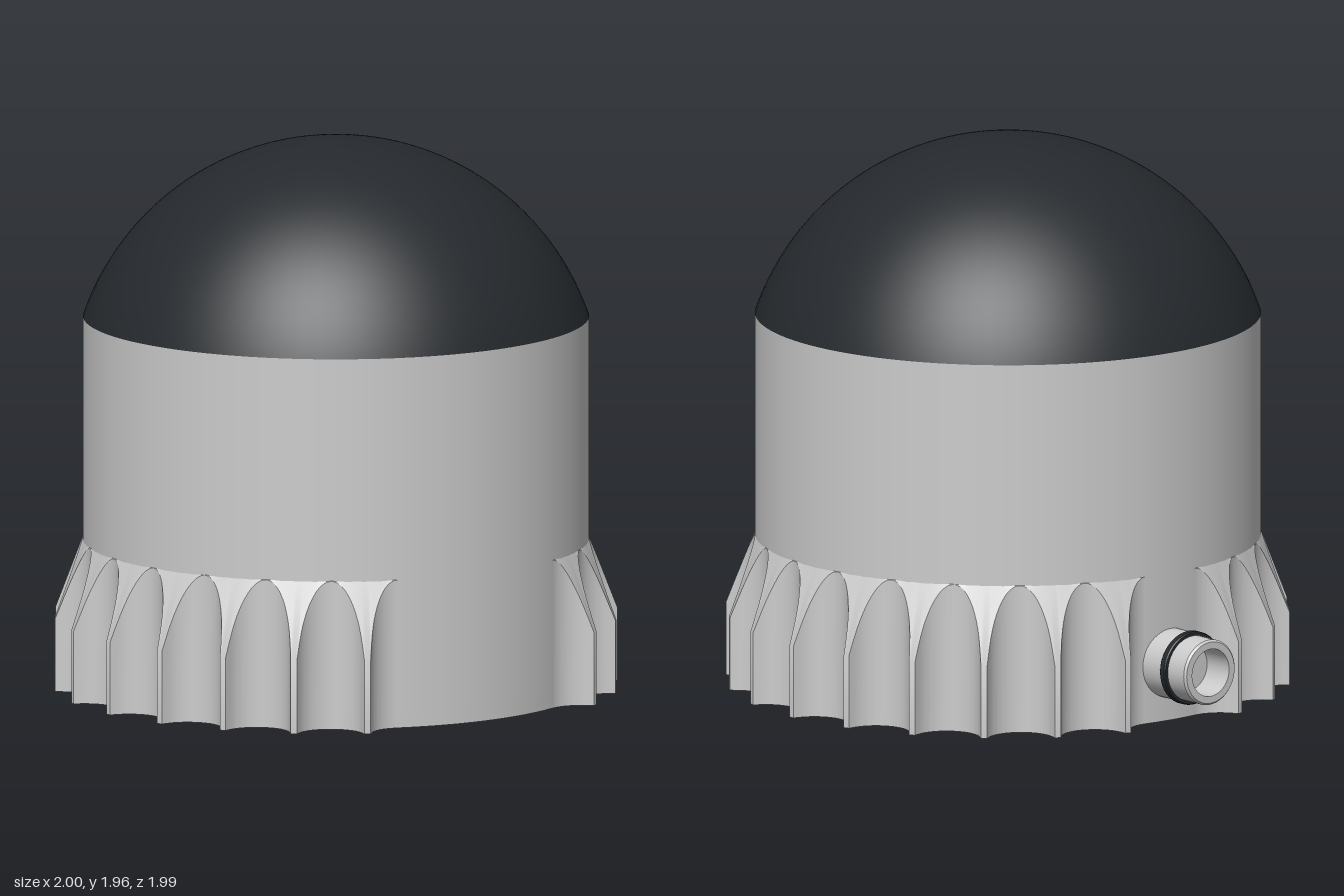
import * as THREE from 'three';
import { toCreasedNormals } from 'three/addons/utils/BufferGeometryUtils.js';

const R = 0.89;          // body radius
const TIP = 0.995;       // fin tip radius
const WALL_TOP = 1.32;
const FIN_SHOULDER = 0.26, FIN_TOP = 0.53;
const PLATE = 0.05;
const STEP = Math.PI / 12;

const grey = new THREE.MeshStandardMaterial({ color: 0xcccccc });
const dark = new THREE.MeshStandardMaterial({ color: 0x25292d });

function add(parent, name, geometry, material = grey) {
  const mesh = new THREE.Mesh(geometry, material);
  mesh.name = name;
  parent.add(mesh);
  return mesh;
}

// Fin radius at an angle from the tip: round scallops are cut on both sides
function finRadius(angle) {
  const a = STEP / 2 - Math.abs(angle);
  const centre = 1.01, cut = 0.119;
  const under = cut * cut - (centre * Math.sin(a)) ** 2;
  if (under <= 0) return TIP;
  return Math.min(TIP, centre * Math.cos(a) - Math.sqrt(under));
}

// One fin: upright scalloped wall, sloping shoulder and underside, column by column
function finGeometry() {
  const positions = [];
  const n = 48;
  const column = (i) => {
    const a = (i / n - 0.5) * STEP;
    const r = finRadius(a);
    const y = FIN_TOP - (r - R) / (TIP - R) * (FIN_TOP - FIN_SHOULDER);
    const at = (rad, h) => [rad * Math.cos(a), h, -rad * Math.sin(a)];
    return [at(R - 0.002, 0), at(r, 0), at(r, y), at(R - 0.002, FIN_TOP)];
  };
  for (let i = 0; i < n; i++) {
    const p = column(i), q = column(i + 1);
    for (let k = 0; k < 3; k++) {
      positions.push(...p[k], ...q[k], ...q[k + 1], ...p[k], ...q[k + 1], ...p[k + 1]);
    }
  }
  const g = new THREE.BufferGeometry();
  g.setAttribute('position', new THREE.Float32BufferAttribute(positions, 3));
  return toCreasedNormals(g, 0.45);
}

export function createModel() {
  const model = new THREE.Group();
  model.name = 'domedHousing';

  const housing = new THREE.Group();
  housing.name = 'housing';
  housing.position.x = 0.105;
  model.add(housing);

  // Cylindrical wall
  const wall = new THREE.CylinderGeometry(R, R, WALL_TOP - PLATE, 96);
  add(housing, 'bodyWall', wall).position.y = (WALL_TOP + PLATE) / 2;

  // Base plate with screw holes
  const disc = new THREE.Shape().absarc(0, 0, R, 0, Math.PI * 2, false);
  for (const deg of [0, 60, 120, 180, 210, 330]) {
    const a = THREE.MathUtils.degToRad(deg);
    disc.holes.push(new THREE.Path().absarc(0.845 * Math.cos(a), -0.845 * Math.sin(a), 0.028, 0, Math.PI * 2, true));
  }
  const plate = new THREE.ExtrudeGeometry(disc, { depth: PLATE, bevelEnabled: false, curveSegments: 48 });
  plate.rotateX(-Math.PI / 2);
  add(housing, 'basePlate', toCreasedNormals(plate, 0.6));

  // Dome: a cap of a larger sphere
  const rise = 0.635;
  const domeR = (R * R + rise * rise) / (2 * rise);
  const dome = new THREE.SphereGeometry(domeR, 96, 40, 0, Math.PI * 2, 0, Math.asin(R / domeR));
  add(housing, 'dome', dome, dark).position.y = WALL_TOP + rise - domeR;

  // Fins all round, leaving out the smooth left side and the connector
  const fin = finGeometry();
  for (let i = 0; i < 24; i++) {
    if ([23, 0, 1, 12].includes(i)) continue;
    add(housing, 'fin', fin).rotation.y = i * STEP;
  }

  // Hollow connector on the right side, pointing to -x
  const connector = new THREE.Group();
  connector.name = 'connector';
  connector.position.set(0, 0.205, 0);
  connector.rotation.z = Math.PI / 2;
  model.add(connector);
  const lathe = (pts) => toCreasedNormals(
    new THREE.LatheGeometry(pts.map(([r, y]) => new THREE.Vector2(r, y)), 48), 0.5);
  add(connector, 'connectorTube', lathe([
    [0.124, 0.72], [0.124, 0.88], [0.117, 0.88], [0.117, 0.992], [0.11, 1],
    [0.085, 1], [0.085, 0.88], [0, 0.88],
  ]));
  add(connector, 'sealRing', lathe([
    [0.11, 0.875], [0.127, 0.875], [0.131, 0.88], [0.131, 0.9], [0.127, 0.905], [0.11, 0.905],
  ]), dark);

  return model;
}
